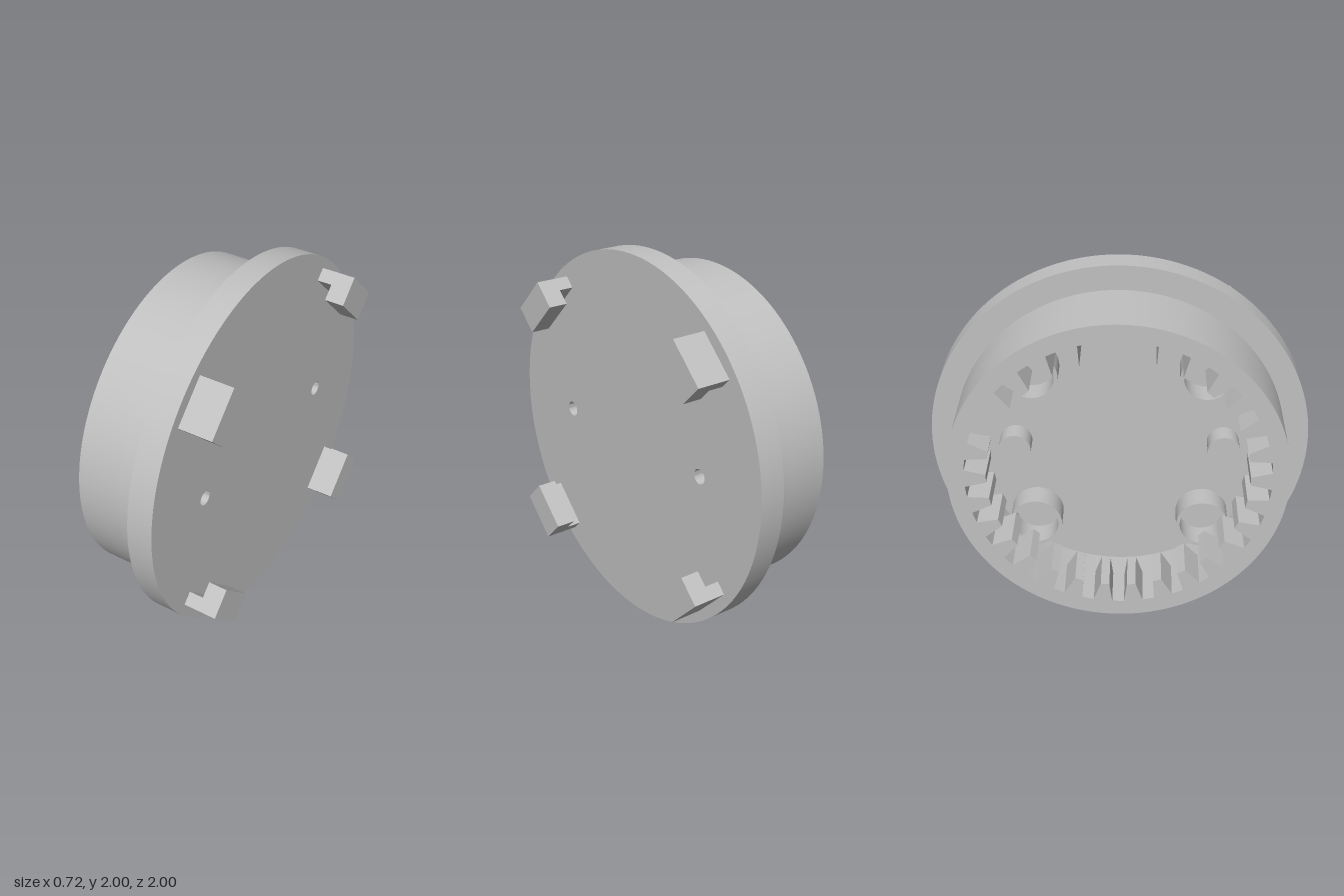
import * as THREE from 'three';
import { toCreasedNormals } from 'three/addons/utils/BufferGeometryUtils.js';

const grey = new THREE.MeshStandardMaterial({ color: 0xc0c0c0 });
grey.name = 'grey';

const circle = (x, y, r, Type = THREE.Shape) => new Type().absarc(x, y, r, 0, Math.PI * 2, false);

// Extrudes a profile (across, up) along the x axis from x0 to x1.
function slab(name, shape, x0, x1, segments = 64) {
  let geo = new THREE.ExtrudeGeometry(shape, { depth: x1 - x0, bevelEnabled: false, curveSegments: segments });
  geo.translate(0, 0, x0);
  geo.rotateY(Math.PI / 2);
  geo = toCreasedNormals(geo, 0.5);
  const mesh = new THREE.Mesh(geo, grey);
  mesh.name = name;
  return mesh;
}

// Closed outline of the internal gear: trapezoid teeth pointing inward.
function toothedHole(count, root, tip, rootHalf, tipHalf) {
  const points = [];
  const pitch = (Math.PI * 2) / count;
  const add = (r, a) => points.push(new THREE.Vector2(r * Math.cos(a), r * Math.sin(a)));
  for (let i = 0; i < count; i++) {
    const a = i * pitch;
    add(root, a - rootHalf / root);
    add(tip, a - tipHalf / tip);
    add(tip, a + tipHalf / tip);
    add(root, a + rootHalf / root);
    add(root, a + pitch / 2);
  }
  return new THREE.Path(points);
}

export function createModel() {
  const model = new THREE.Group();
  model.name = 'gearHousing';
  const body = new THREE.Group();
  body.name = 'body';
  body.position.y = 1;
  model.add(body);

  // Round flange with two small holes
  const flange = circle(0, 0, 1);
  for (const s of [-1, 1]) flange.holes.push(circle(s * 0.55, 0, 0.04, THREE.Path));
  body.add(slab('flange', flange, 0.03, 0.17));

  // Plain wall next to the flange, then the toothed rim
  const wall = circle(0, 0, 0.87);
  wall.holes.push(circle(0, 0, 0.78, THREE.Path));
  body.add(slab('wall', wall, -0.12, 0.03));

  const rim = circle(0, 0, 0.87);
  rim.holes.push(toothedHole(30, 0.78, 0.67, 0.05, 0.023));
  body.add(slab('toothedRim', rim, -0.36, -0.12));

  // Solid pins behind the holes
  for (const s of [-1, 1]) body.add(slab('pin', circle(s * 0.55, 0, 0.085), -0.08, 0.03, 24));

  // Four hollow bosses and four hooked clips on the diagonals
  for (let i = 0; i < 4; i++) {
    const angle = Math.PI / 4 + (i * Math.PI) / 2;
    const x = 0.635 * Math.cos(angle), y = 0.635 * Math.sin(angle);
    const boss = circle(x, y, 0.14);
    boss.holes.push(circle(x, y, 0.12, THREE.Path));
    body.add(slab('boss', boss, -0.11, 0.03, 32));

    // L profile in (x, radius), extruded along the tangent
    const profile = new THREE.Shape([
      [0.17, 0.866], [0.25, 0.866], [0.25, 0.781], [0.355, 0.781], [0.355, 0.937], [0.17, 0.937],
    ].map(([a, b]) => new THREE.Vector2(a, b)));
    const geo = new THREE.ExtrudeGeometry(profile, { depth: 0.262, bevelEnabled: false });
    geo.translate(0, 0, -0.131);
    const clip = new THREE.Mesh(geo, grey);
    clip.name = 'clip';
    clip.rotation.x = angle;
    body.add(clip);
  }
  return model;
}
